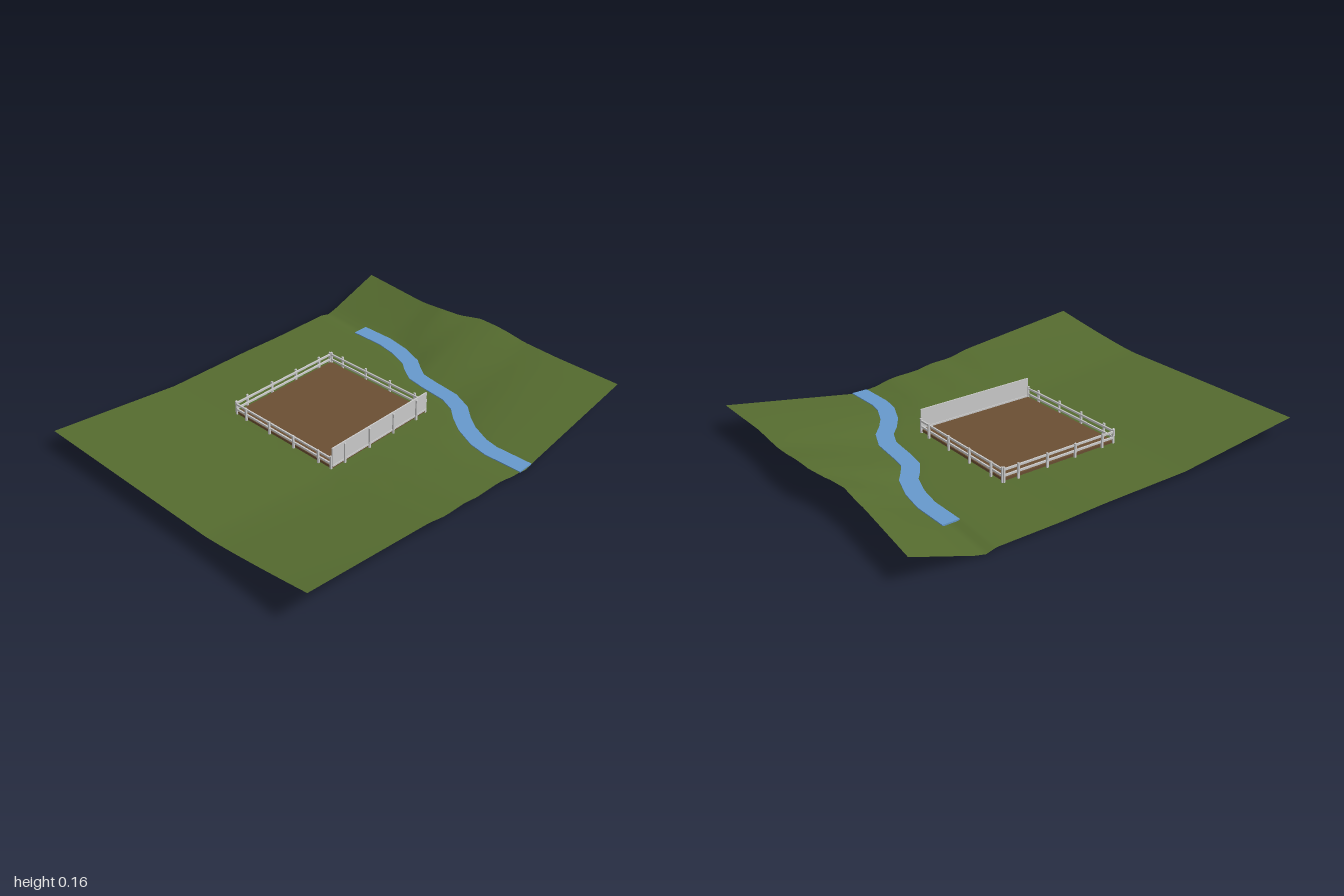
import * as THREE from 'three';

// Piecewise linear lookup: pts is a list of [key, value] with rising keys
function lookup(pts, k) {
  if (k <= pts[0][0]) return pts[0][1];
  for (let i = 1; i < pts.length; i++) {
    const [a, va] = pts[i - 1], [b, vb] = pts[i];
    if (k <= b) return va + (vb - va) * (k - a) / (b - a);
  }
  return pts[pts.length - 1][1];
}

const HALF = 0.78;
// Course of the stream (x, z) and the outline of the far edge
const STREAM = [[-0.78, -0.67], [-0.53, -0.65], [-0.36, -0.65], [-0.25, -0.63], [-0.14, -0.59], [-0.09, -0.55],
  [-0.03, -0.51], [0.06, -0.495], [0.2, -0.48], [0.29, -0.44], [0.35, -0.385], [0.42, -0.335], [0.52, -0.29], [0.6, -0.275], [0.78, -0.28]];
const BACK_Z = [[-0.78, -1], [-0.4, -0.95], [-0.24, -0.94], [-0.15, -0.95], [-0.03, -0.98], [0.15, -0.98], [0.45, -0.96], [0.78, -0.96]];
const BACK_Y = [[-0.78, 0.11], [-0.35, 0.118], [-0.24, 0.13], [-0.12, 0.13], [-0.02, 0.14], [0.08, 0.138], [0.25, 0.12], [0.45, 0.122], [0.78, 0.12]];
// Heights along z for the low side and for the raised right edge
const LOW = [[-0.7, 0.012], [-0.3, 0.012], [-0.1, 0.018], [0.35, 0.02], [1, 0.087]];
const HIGH = [[-0.3, 0.012], [-0.22, 0.022], [-0.07, 0.038], [0.05, 0.042], [0.13, 0.058], [0.25, 0.062], [0.35, 0.085], [1, 0.158]];

function groundHeight(x, z) {
  const t = Math.pow(THREE.MathUtils.clamp((x - 0.22) / 0.56, 0, 1), 1.25);
  return THREE.MathUtils.lerp(lookup(LOW, z), lookup(HIGH, z), t);
}

// Grass sheet: each column runs from the front edge over the stream bed to the far edge
function makeGround() {
  const nx = 52, front = 30, bed = 6, back = 10, rows = front + bed + back;
  const geo = new THREE.PlaneGeometry(1, 1, nx, rows);
  const pos = geo.attributes.position;
  for (let j = 0; j <= rows; j++) {
    for (let i = 0; i <= nx; i++) {
      const x = -HALF + 2 * HALF * i / nx;
      const mid = lookup(STREAM, x), near = mid + 0.05, far = mid - 0.05;
      let y, z;
      if (j <= front) {
        z = THREE.MathUtils.lerp(far < 1 ? near : 1, 1, 1 - j / front);
        const blend = THREE.MathUtils.smoothstep(z, near, near + 0.12);
        y = THREE.MathUtils.lerp(0.012, groundHeight(x, z), blend);
      } else if (j <= front + bed) {
        const s = (j - front) / bed;
        z = THREE.MathUtils.lerp(near, far, s);
        y = 0.012 * Math.abs(2 * s - 1);
      } else {
        const s = (j - front - bed) / back;
        z = THREE.MathUtils.lerp(far, lookup(BACK_Z, x), s);
        y = THREE.MathUtils.lerp(0.012, lookup(BACK_Y, x), s);
      }
      pos.setXYZ(j * (nx + 1) + i, x, y, z);
    }
  }
  // Rows run front to back, so flip the winding to face up
  const idx = geo.index;
  for (let k = 0; k < idx.count; k += 3) {
    const b = idx.getX(k + 1);
    idx.setX(k + 1, idx.getX(k + 2));
    idx.setX(k + 2, b);
  }
  geo.computeVertexNormals();
  return geo;
}

// Flat water slab following the stream course at constant width
function makeWater() {
  const pts = STREAM.slice(1).map(([x, z]) => new THREE.Vector2(x, z));
  const side = (d) => pts.map((p, i) => {
    const a = pts[Math.max(i - 1, 0)], b = pts[Math.min(i + 1, pts.length - 1)];
    const dir = b.clone().sub(a).normalize();
    const ends = i === 0 || i === pts.length - 1;
    return new THREE.Vector2(p.x - (ends ? 0 : dir.y * d), p.y + (ends ? d : dir.x * d));
  });
  const shape = new THREE.Shape([...side(-0.04), ...side(0.04).reverse()]);
  const geo = new THREE.ExtrudeGeometry(shape, { depth: 0.007, bevelEnabled: false });
  return geo.rotateX(Math.PI / 2).translate(0, 0.014, 0);
}

export function createModel() {
  const root = new THREE.Group();
  const mat = (color, extra = {}) => new THREE.MeshStandardMaterial({ color, ...extra });
  const grey = mat(0xcccccc);
  const add = (parent, name, geo, material, x = 0, y = 0, z = 0) => {
    const mesh = new THREE.Mesh(geo, material);
    mesh.name = name;
    mesh.position.set(x, y, z);
    parent.add(mesh);
    return mesh;
  };
  const box = (parent, name, w, h, d, x, y, z, m = grey) =>
    add(parent, name, new THREE.BoxGeometry(w, h, d), m, x, y, z);

  add(root, 'ground', makeGround(), mat(0x556b2f, { side: THREE.DoubleSide }));
  add(root, 'stream', makeWater(), mat(0x6699cc));

  // Fenced pen with a bare earth floor
  const pen = new THREE.Group();
  pen.name = 'pen';
  pen.position.set(-0.095, 0, 0);
  root.add(pen);
  box(pen, 'penFloor', 0.6, 0.012, 0.6, 0, 0.026, 0, mat(0x6b4f33));

  // Four sides: the one facing +x is a tall solid wall, the others are rail fences
  for (let i = 0; i < 4; i++) {
    const wall = i === 1;
    const side = new THREE.Group();
    side.name = wall ? 'wallSide' : 'fenceSide';
    side.rotation.y = i * Math.PI / 2;
    pen.add(side);
    const top = wall ? 0.12 : 0.085;
    for (let k = 0; k < 4; k++) {
      box(side, 'post', 0.009, top - 0.015, 0.009, -0.228 + k * 0.152, (top + 0.015) / 2, 0.308);
    }
    if (wall) {
      box(side, 'wallPanel', 0.6, 0.085, 0.006, 0, 0.0835, 0.302);
      box(side, 'wallFootRail', 0.6, 0.008, 0.01, 0, 0.036, 0.302);
    } else {
      for (const y of [0.046, 0.073]) box(side, 'rail', 0.6, 0.009, 0.007, 0, y, 0.302);
      for (const s of [-1, 1]) box(side, 'cornerPost', 0.009, 0.07, 0.009, s * 0.297, 0.05, 0.302);
    }
  }
  return root;
}
